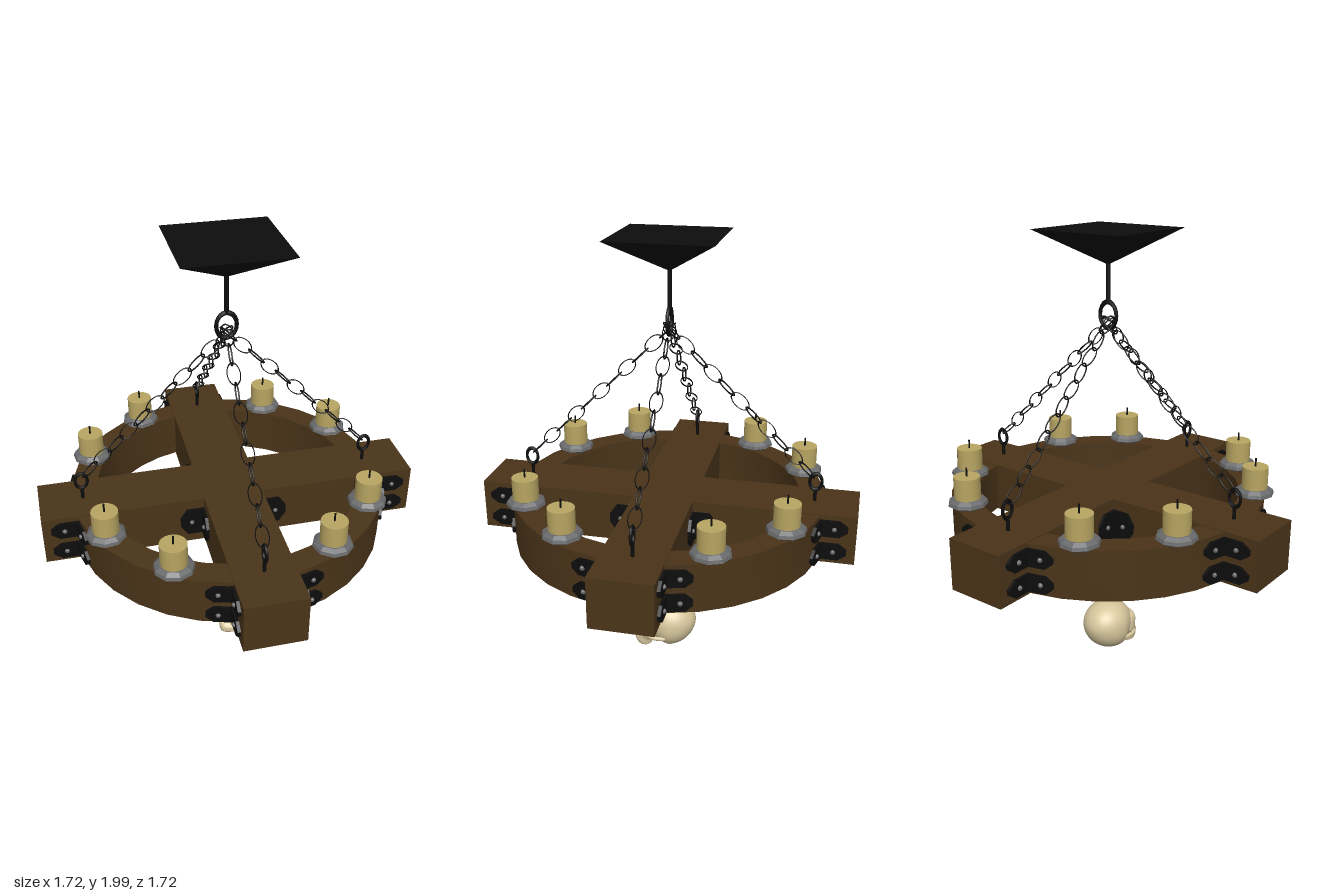
import * as THREE from 'three';
import { toCreasedNormals } from 'three/addons/utils/BufferGeometryUtils.js';
import { ParametricGeometry } from 'three/addons/geometries/ParametricGeometry.js';

const mat = (color, flatShading = false) => new THREE.MeshStandardMaterial({ color, flatShading });
const wood = mat(0x4a3419), iron = mat(0x0d0d0d), ironFlat = mat(0x0d0d0d, true);
const steel = mat(0x68696b, true), wax = mat(0xb8a562), bone = mat(0xd6c69c);

function add(parent, name, geometry, material, x = 0, y = 0, z = 0) {
  const mesh = new THREE.Mesh(geometry, material);
  mesh.name = name;
  mesh.position.set(x, y, z);
  parent.add(mesh);
  return mesh;
}

// Oval ring standing in the xy plane
const oval = (rx, ry, tube) =>
  new THREE.TorusGeometry(1, tube / rx, 6, 20).scale(rx, ry, rx);
const rod = (r, y0, y1) =>
  new THREE.CylinderGeometry(r, r, y1 - y0, 8).translate(0, (y0 + y1) / 2, 0);

// Pointed strap plate with a rivet, running along d and facing n
function strap(parent, name, pos, d, n, length, height) {
  const h = height / 2, s = new THREE.Shape();
  s.moveTo(0, -h);
  s.lineTo(length * 0.72, -h);
  s.lineTo(length, -h * 0.3);
  s.lineTo(length, h * 0.3);
  s.lineTo(length * 0.72, h);
  s.lineTo(0, h);
  const group = new THREE.Group();
  group.name = name;
  const geo = new THREE.ExtrudeGeometry(s, { depth: 0.014, bevelEnabled: false });
  add(group, 'strapPlate', geo, ironFlat);
  add(group, 'rivet', new THREE.SphereGeometry(0.011, 8, 6), steel, length * 0.55, 0, 0.014);
  const up = new THREE.Vector3().crossVectors(n, d);
  group.quaternion.setFromRotationMatrix(new THREE.Matrix4().makeBasis(d, up, n));
  group.position.copy(pos);
  parent.add(group);
}

// One chain hanging out and down along +x, links alternately turned
function chain(parent) {
  const dir = new THREE.Vector3(0.061, -0.059, 0).normalize();
  const slope = Math.atan2(dir.y, dir.x);
  for (let i = -1; i < 10; i++) {
    const geo = oval(0.048, 0.028, 0.0035);
    if (i % 2) geo.rotateX(Math.PI / 2);
    geo.rotateZ(slope);
    add(parent, 'chainLink', geo, iron, 0.07 + 0.061 * i, 1.535 - 0.059 * i, 0);
  }
}

// Hollows for eyes, nose and mouth, pressed back into front surfaces
function hollow(x, y, z) {
  if (z < 0.03) return z;
  const dip = (cx, cy, rx, ry, depth) => {
    const r = Math.hypot((x - cx) / rx, (y - cy) / ry);
    return depth * (1 - THREE.MathUtils.smoothstep(r, 0.55, 1.05));
  };
  return z - dip(0.048, 0.122, 0.034, 0.03, 0.05) - dip(-0.048, 0.122, 0.034, 0.03, 0.05)
    - dip(0, 0.082, 0.009 + Math.max(0, 0.105 - y) * 0.25, 0.026, 0.035)
    - dip(0, 0.036, 0.06, 0.006, 0.012);
}

function skull() {
  const group = new THREE.Group();
  group.name = 'skull';

  // Rounded brain case, deeper below its middle
  const cranium = new THREE.SphereGeometry(1, 80, 56);
  const p = cranium.attributes.position;
  for (let i = 0; i < p.count; i++) {
    const a = p.getX(i), b = p.getY(i), c = p.getZ(i);
    const x = a * 0.112 * (1 - 0.13 * Math.max(0, c)) * (1 + 0.12 * Math.max(0, -b));
    const y = 0.145 + b * (b > 0 ? 0.107 : 0.128);
    const z = -0.003 + c * 0.127 - 0.02 * Math.max(0, -b) * (c < 0 ? -0.5 : 1);
    p.setXYZ(i, x, y, hollow(x, y, z));
  }
  cranium.computeVertexNormals();
  add(group, 'cranium', cranium, bone);

  // Face lofted from chin to brow: half width, height, front depth
  const profile = new THREE.CatmullRomCurve3([
    [0.002, 0.008, 0.13], [0.055, 0.008, 0.15], [0.064, 0.03, 0.165], [0.066, 0.05, 0.167],
    [0.074, 0.07, 0.15], [0.094, 0.09, 0.132], [0.098, 0.12, 0.122], [0.096, 0.15, 0.128],
    [0.088, 0.168, 0.124], [0.06, 0.19, 0.105],
  ].map((q) => new THREE.Vector3(...q)));
  const face = new ParametricGeometry((u, v, out) => {
    const s = profile.getPoint(v), a = (u - 0.5) * Math.PI * 2;
    const back = THREE.MathUtils.lerp(0.085, 0.02, THREE.MathUtils.smoothstep(s.y, 0.03, 0.1));
    const round = (t) => Math.sign(t) * Math.abs(t) ** 0.8;
    const x = s.x * round(Math.sin(a)), mid = (s.z + back) / 2;
    const z = mid + (s.z - back) / 2 * round(Math.cos(a));
    out.set(x, s.y, z > mid ? hollow(x, s.y, z) : z);
  }, 96, 72);
  add(group, 'face', face, bone);

  // Cheekbones and teeth
  for (const s of [-1, 1]) {
    const arch = new THREE.CatmullRomCurve3([[0.08, 0.088, 0.105], [0.102, 0.085, 0.06], [0.1, 0.085, 0]]
      .map(([x, y, z]) => new THREE.Vector3(s * x, y, z)));
    add(group, 'cheekbone', new THREE.TubeGeometry(arch, 10, 0.01, 8), bone);
  }
  for (let i = -4; i <= 4; i++) {
    const a = i * 0.24;
    const tooth = add(group, 'tooth', new THREE.BoxGeometry(0.012, 0.017, 0.01), bone,
      0.062 * Math.sin(a), 0.042, 0.122 + 0.044 * Math.cos(a));
    tooth.rotation.y = a;
  }
  return group;
}

export function createModel() {
  const model = new THREE.Group();
  model.name = 'chandelier';
  const V = (x, y, z) => new THREE.Vector3(x, y, z);

  // Ceiling mount, rod and main ring
  const mount = new THREE.ConeGeometry(0.23 * Math.SQRT2, 0.15, 4).rotateY(Math.PI / 4).rotateX(Math.PI);
  add(model, 'ceilingMount', mount, ironFlat, 0, 1.925, 0);
  add(model, 'ceilingRod', rod(0.01, 1.69, 1.88), iron);
  add(model, 'mainRing', oval(0.044, 0.057, 0.009), iron, 0, 1.636, 0);

  // Crossed beams and wooden hoop
  add(model, 'crossBeam', new THREE.BoxGeometry(1.715, 0.228, 0.27), wood, 0, 0.744, 0);
  add(model, 'longBeam', new THREE.BoxGeometry(0.27, 0.229, 1.715), wood, 0, 0.744, 0);
  const R = 0.71;
  const disc = new THREE.Shape().absarc(0, 0, R, 0, Math.PI * 2);
  disc.holes.push(new THREE.Path().absarc(0, 0, 0.597, 0, Math.PI * 2, true));
  const hoop = new THREE.ExtrudeGeometry(disc, { depth: 0.218, bevelEnabled: false, curveSegments: 16 });
  add(model, 'hoop', toCreasedNormals(hoop.rotateX(-Math.PI / 2), 0.6), wood, 0, 0.636, 0);

  // Four arms: eye bolt, chain and iron straps on each
  for (let k = 0; k < 4; k++) {
    const arm = new THREE.Group();
    arm.name = 'arm';
    arm.rotation.y = k * Math.PI / 2;
    model.add(arm);
    add(arm, 'eyeBoltPost', rod(0.008, 0.84, 0.912), iron, 0.662, 0, 0);
    add(arm, 'eyeBoltRing', oval(0.027, 0.038, 0.007), iron, 0.662, 0.95, 0);
    chain(arm);
    for (const s of [-1, 1]) {
      const phi = 0.265;
      for (const y of [0.798, 0.688]) {
        strap(arm, 'beamStrap', V(0.69, y, s * 0.135), V(1, 0, 0), V(0, 0, s), 0.13, 0.076);
        strap(arm, 'hoopStrap', V(0.699, y, s * 0.135),
          V(-Math.sin(phi), 0, s * Math.cos(phi)), V(Math.cos(phi), 0, s * Math.sin(phi)), 0.115, 0.076);
      }
      strap(arm, 'centreStrap', V(0.135, 0.745, s * 0.135), V(1, 0, 0), V(0, 0, s), 0.11, 0.13);
    }
  }

  // Candles in faceted drip trays around the hoop
  const tray = new THREE.LatheGeometry([[0, 0], [0.068, 0], [0.088, 0.012], [0.084, 0.027], [0.066, 0.04], [0, 0.036]]
    .map(([x, y]) => new THREE.Vector2(x, y)), 9);
  const spots = [[-0.31, -0.585], [-0.585, -0.315], [0.325, -0.57], [0.588, -0.3],
    [-0.593, 0.295], [-0.352, 0.565], [0.32, 0.575], [0.565, 0.325]];
  spots.forEach(([x, z], i) => {
    const candle = new THREE.Group();
    candle.name = 'candle';
    candle.position.set(x, 0.853, z);
    candle.rotation.y = i * 1.7;
    add(candle, 'dripTray', tray, steel);
    add(candle, 'waxCandle', new THREE.CylinderGeometry(0.058, 0.058, 0.11, 18), wax, 0, 0.082, 0);
    add(candle, 'wick', rod(0.004, 0.13, 0.175), iron);
    model.add(candle);
  });

  // Hanging rings, wire and skull under the crossing
  add(model, 'hangerPost', rod(0.007, 0.585, 0.65), iron);
  add(model, 'upperHangerRing', oval(0.028, 0.037, 0.006), iron, 0, 0.549, 0);
  add(model, 'lowerHangerRing', oval(0.028, 0.037, 0.006).rotateY(Math.PI / 2), iron, 0, 0.483, 0);
  add(model, 'hangerWire', rod(0.004, 0.24, 0.45), iron);
  model.add(skull());
  return model;
}
